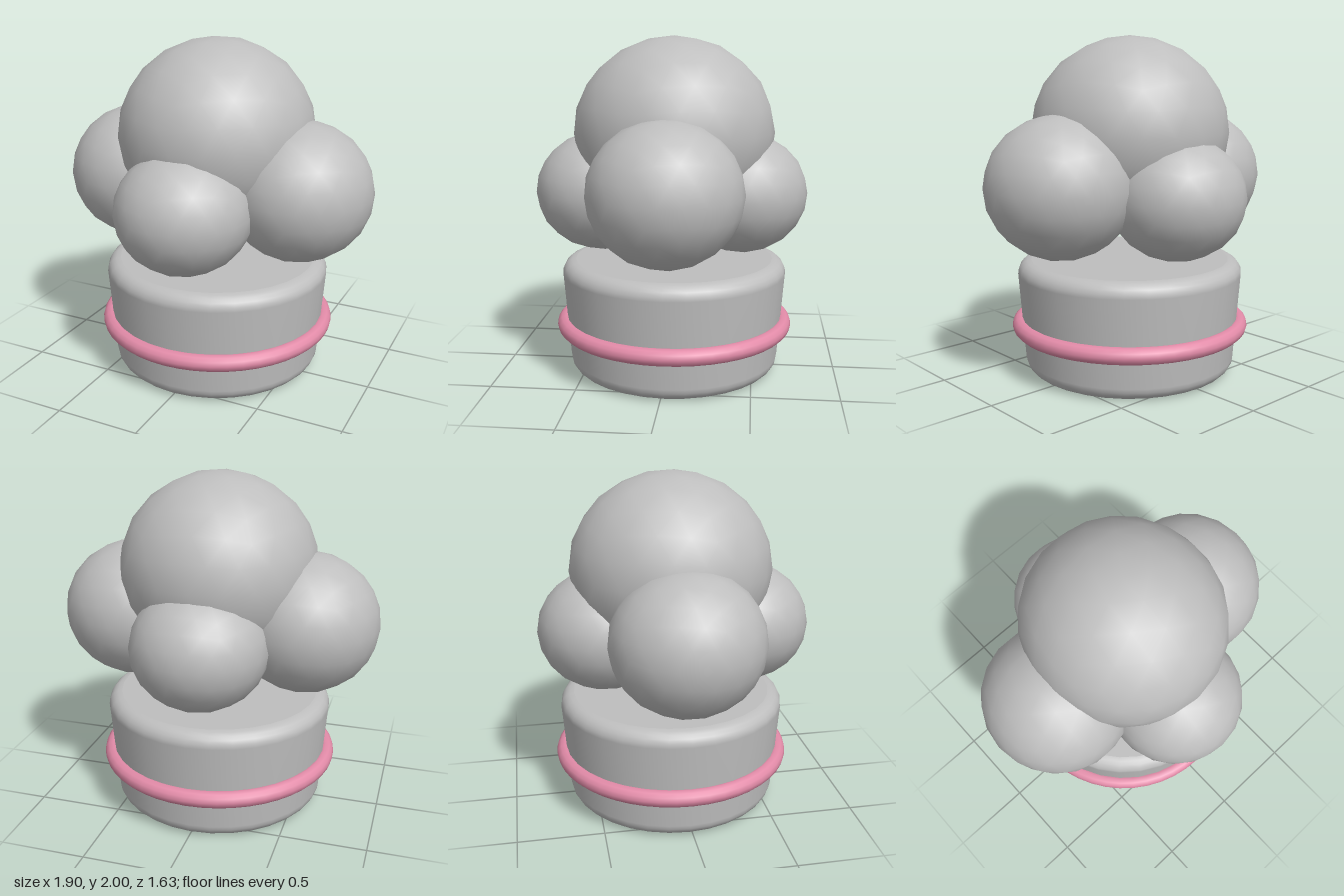
import * as THREE from 'three';

const grey = new THREE.MeshStandardMaterial({ color: 0xbebebe });
grey.name = 'softGrey';
const pink = new THREE.MeshStandardMaterial({ color: 0xe28ba8 });
pink.name = 'pink';

const Z0 = -0.02; // the body axis sits slightly behind the centre

// Smooth, coarse ball with a vertex at the top, squashed to the given radii
function ball(name, [x, y, z], [rx, ry, rz]) {
  const geo = new THREE.IcosahedronGeometry(1, 3);
  geo.rotateZ(Math.atan(2 / (1 + Math.sqrt(5))));
  geo.rotateY(Math.PI / 2);
  geo.scale(rx, ry, rz);
  const mesh = new THREE.Mesh(geo, grey);
  mesh.name = name;
  mesh.position.set(x, y, z);
  return mesh;
}

export function createModel() {
  const model = new THREE.Group();
  model.name = 'puffOnBase';

  // Cluster: one large puff above four smaller ones
  const puffs = new THREE.Group();
  puffs.name = 'puffs';
  puffs.add(ball('topPuff', [0, 1.44, Z0], [0.58, 0.56, 0.595]));
  for (const [side, s] of [['left', 1], ['right', -1]]) {
    puffs.add(ball(side + 'Puff', [s * 0.52, 1.152, Z0], [0.43, 0.41, 0.436]));
  }
  for (const [side, s] of [['front', 1], ['back', -1]]) {
    puffs.add(ball(side + 'Puff', [0, 1.083, s * 0.418], [0.395, 0.359, 0.395]));
  }
  model.add(puffs);

  // Base: slightly flared drum with rounded rims; caps are separate flat discs
  const profile = [];
  const corner = (cx, cy, r, from, to) => {
    for (let i = 0; i <= 5; i++) {
      const a = from + (to - from) * i / 5;
      profile.push(new THREE.Vector2(cx + r * Math.cos(a), cy + r * Math.sin(a)));
    }
  };
  corner(0.55, 0.085, 0.085, -Math.PI / 2, -0.05);
  corner(0.595, 0.6, 0.08, -0.05, Math.PI / 2);
  const base = new THREE.Group();
  base.name = 'base';
  base.position.z = Z0;
  const wall = new THREE.Mesh(new THREE.LatheGeometry(profile, 32), grey);
  wall.name = 'baseWall';
  base.add(wall);
  for (const [name, r, y, turn] of [['baseTop', 0.595, 0.68, -1], ['baseBottom', 0.55, 0, 1]]) {
    const cap = new THREE.Mesh(new THREE.CircleGeometry(r, 32), grey);
    cap.name = name;
    cap.rotation.x = turn * Math.PI / 2;
    cap.position.y = y;
    base.add(cap);
  }
  model.add(base);

  // Band around the base
  const band = new THREE.Mesh(new THREE.TorusGeometry(0.665, 0.049, 12, 48), pink);
  band.name = 'band';
  band.rotation.x = Math.PI / 2;
  band.position.set(0, 0.283, Z0);
  model.add(band);

  return model;
}
